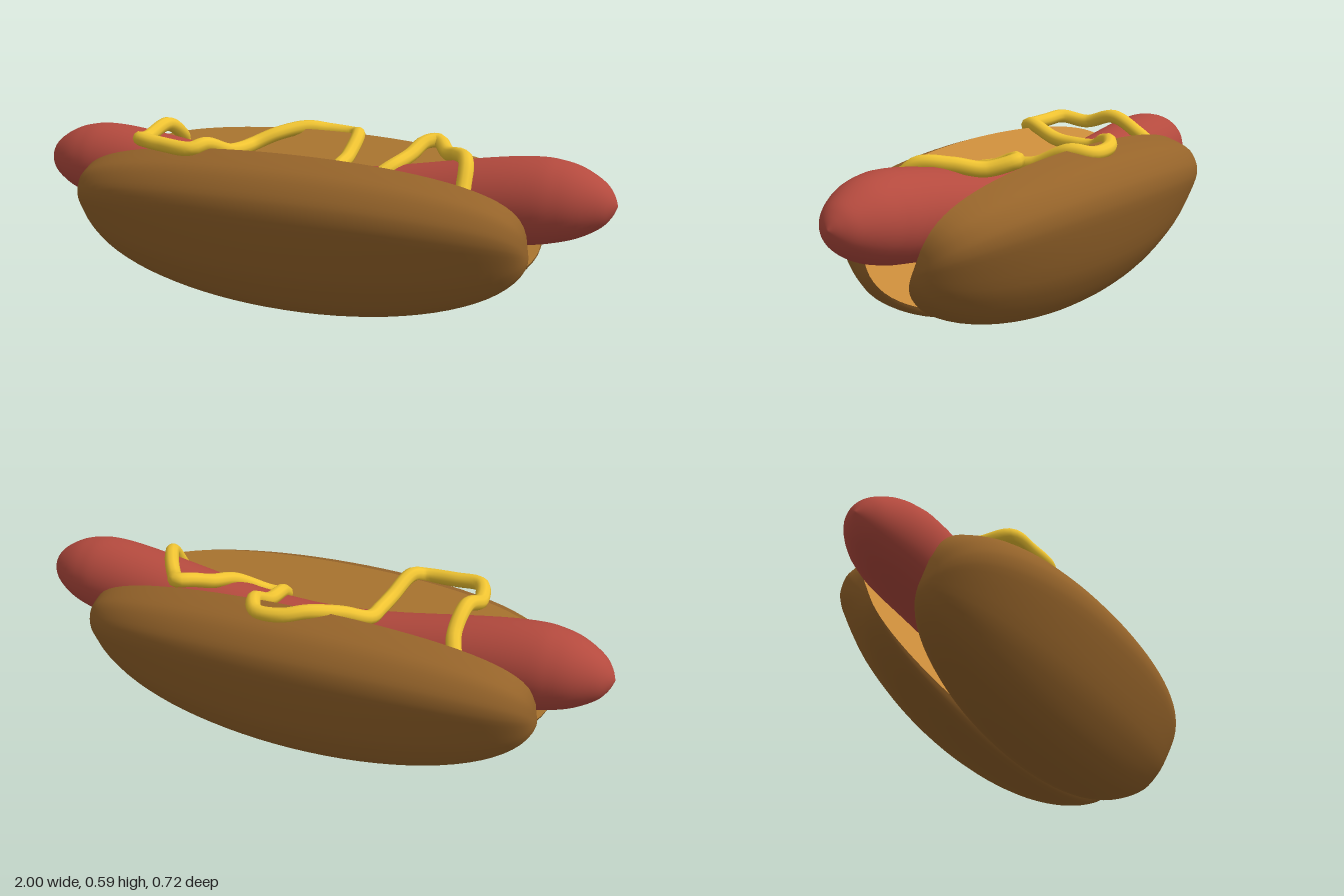
import * as THREE from 'three';
import { mergeVertices } from 'three/addons/utils/BufferGeometryUtils.js';

const mat = (color, side = THREE.FrontSide) => new THREE.MeshStandardMaterial({ color, side });

function part(name, geometry, material) {
  const mesh = new THREE.Mesh(geometry, material);
  mesh.name = name;
  return mesh;
}

// Drop seams so that the normals run smoothly over the whole surface
function smooth(geometry) {
  geometry.deleteAttribute('uv');
  geometry.deleteAttribute('normal');
  const g = mergeVertices(geometry, 1e-5);
  g.computeVertexNormals();
  return g;
}

// Surface through rows of points
function skin(rows, flip) {
  const n = rows[0].length, index = [];
  for (let i = 0; i < rows.length - 1; i++) {
    for (let j = 0; j < n - 1; j++) {
      const a = i * n + j, b = a + n, c = a + 1, d = b + 1;
      if (flip) index.push(a, b, c, b, d, c);
      else index.push(a, c, b, b, c, d);
    }
  }
  const g = new THREE.BufferGeometry().setFromPoints(rows.flat());
  g.setIndex(index);
  return smooth(g);
}

// Bun half: a (z, y) section shrinking toward both ends, around a point on the cut face
const anchor = new THREE.Vector2(0.08, 0.28);
const top = new THREE.Vector2(0.195, 0.555);
const bottom = new THREE.Vector2(-0.018, 0.045);
const crustProfile = new THREE.SplineCurve([
  top, ...[[0.25, 0.538], [0.305, 0.512], [0.345, 0.462], [0.36, 0.415], [0.353, 0.35], [0.302, 0.2], [0.25, 0.11],
    [0.2, 0.05], [0.145, 0.018], [0.07, 0.003], [0.005, 0.01]].map(p => new THREE.Vector2(...p)), bottom,
]).getPoints(36);
const cutProfile = Array.from({ length: 9 }, (_, i) => top.clone().lerp(bottom, i / 8));

function bunRows(profile, side) {
  const rows = [], steps = 40;
  for (let i = 0; i <= steps; i++) {
    const t = Math.PI * i / steps;
    const s = i % steps ? Math.sin(t) : 0;
    rows.push(profile.map(p => {
      // the upper edge stays fuller toward the ends than the underside
      const k = Math.pow(s, 1 - 0.5 * THREE.MathUtils.clamp(p.y / 0.555, 0, 1));
      return new THREE.Vector3(-0.02 - 0.78 * Math.cos(t),
        anchor.y + (p.y - anchor.y) * k, side * (anchor.x + (p.x - anchor.x) * k));
    }));
  }
  return rows;
}

function bunHalf(name, side) {
  const half = new THREE.Group();
  half.name = name;
  half.add(
    part('crust', skin(bunRows(crustProfile, side), side < 0), mat(0x96642a)),
    part('cutFace', skin(bunRows(cutProfile, side), side > 0), mat(0xd0903c)),
  );
  return half;
}

// Sausage: turned along x, then bent so that the middle sags into the bun
function sausage() {
  const ends = [[0, 1], [0.035, 0.985], [0.07, 0.955], [0.105, 0.895], [0.125, 0.83], [0.136, 0.74], [0.137, 0.5]];
  const points = [
    ...ends.map(([r, y]) => new THREE.Vector2(r, -y)),
    new THREE.Vector2(0.135, 0),
    ...ends.map(([r, y]) => new THREE.Vector2(r, y)).reverse(),
  ];
  const profile = new THREE.SplineCurve(points).getPoints(70);
  profile.forEach(p => { p.x = Math.max(p.x, 0); });
  const g = new THREE.LatheGeometry(profile, 40).rotateZ(-Math.PI / 2);
  const pos = g.attributes.position;
  for (let i = 0; i < pos.count; i++) {
    const x = pos.getX(i);
    const sag = 0.5 + 0.5 * Math.cos(Math.PI * Math.min(1, Math.abs(x) / 0.9));
    pos.setY(i, pos.getY(i) + 0.435 + 0.012 * x - 0.095 * sag);
  }
  return part('sausage', smooth(g), mat(0xb44a3e));
}

// Mustard: one thick line zigzagging over sausage and bun edges
function mustard() {
  const group = new THREE.Group();
  group.name = 'mustard';
  const path = [
    [-0.55, 0.475, -0.15], [-0.53, 0.52, -0.1], [-0.53, 0.572, 0], [-0.54, 0.545, 0.12], [-0.51, 0.562, 0.205],
    [-0.42, 0.555, 0.225], [-0.31, 0.55, 0.23], [-0.28, 0.56, 0.19], [-0.255, 0.52, 0.08], [-0.25, 0.51, 0],
    [-0.245, 0.51, -0.08], [-0.18, 0.54, -0.15], [-0.1, 0.556, -0.22], [-0.03, 0.545, -0.255], [0.06, 0.54, -0.25],
    [0.1, 0.55, -0.19], [0.11, 0.5, -0.07], [0.12, 0.485, 0.04], [0.15, 0.44, 0.12], [0.21, 0.44, 0.12],
    [0.29, 0.5, 0.03], [0.325, 0.525, -0.07], [0.35, 0.555, -0.15], [0.385, 0.558, -0.18], [0.44, 0.535, -0.11],
    [0.5, 0.55, -0.03], [0.55, 0.55, 0.06], [0.565, 0.47, 0.14],
  ].map(p => new THREE.Vector3(...p));
  const color = mat(0xf0c432);
  const curve = new THREE.CatmullRomCurve3(path, false, 'centripetal');
  group.add(part('mustardLine', new THREE.TubeGeometry(curve, 170, 0.024, 10), color));
  for (const end of [path[0], path[path.length - 1]]) {
    const cap = part('mustardEnd', new THREE.SphereGeometry(0.024, 10, 8), color);
    cap.position.copy(end);
    group.add(cap);
  }
  return group;
}

export function createModel() {
  const model = new THREE.Group();
  model.name = 'hotDog';
  model.add(bunHalf('frontBun', 1), bunHalf('backBun', -1), sausage(), mustard());
  return model;
}
